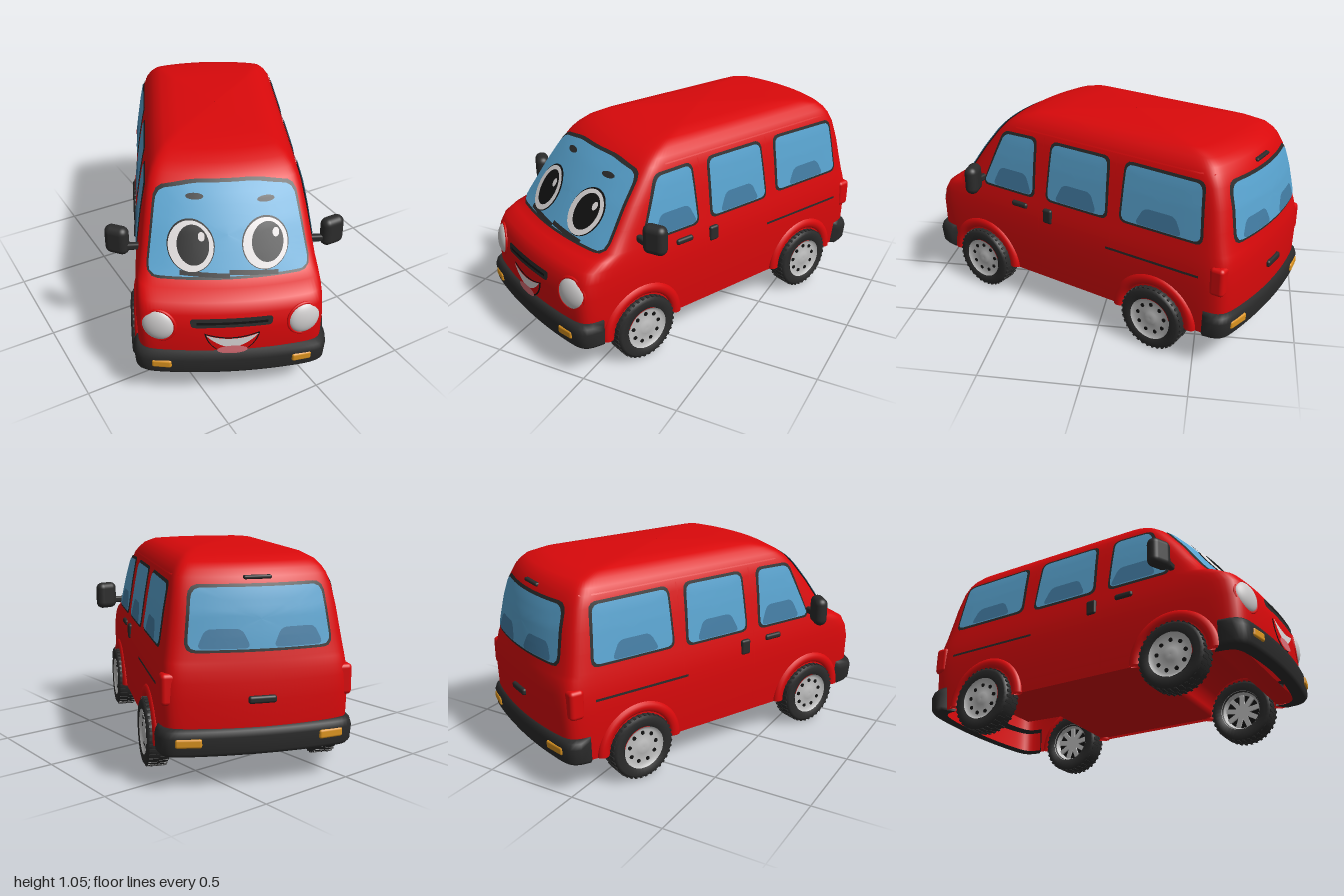
import * as THREE from 'three';
import { RoundedBoxGeometry } from 'three/addons/geometries/RoundedBoxGeometry.js';

const mat = (name, color) => new THREE.MeshStandardMaterial({ name, color, side: THREE.DoubleSide });
const red = mat('red paint', 0xda090b), lampGrey = mat('headlight grey', 0xcdcbcb);
const rubber = mat('dark rubber', 0x2b2b2b), black = mat('black', 0x121212);
const white = mat('soft white', 0xdedada), silver = mat('silver', 0xc0c0c0);
const glass = mat('light blue glass', 0x58a3cf), shade = mat('dark blue glass', 0x427ca3);
const orange = mat('orange lamp', 0xdc9420), pink = mat('pink tongue', 0xdd7078);

// Body levels: y, half width, front z, back z, bow of the ends
const LEVELS = [
  [0.17, 0.432, 0.92, 0.935, 0.05], [0.3, 0.441, 0.935, 0.945, 0.05], [0.42, 0.444, 0.935, 0.948, 0.05],
  [0.5, 0.441, 0.922, 0.946, 0.05], [0.55, 0.436, 0.895, 0.941, 0.052], [0.585, 0.431, 0.837, 0.936, 0.056],
  [0.605, 0.428, 0.775, 0.932, 0.06], [0.7, 0.413, 0.71, 0.917, 0.065], [0.8, 0.397, 0.64, 0.899, 0.065],
  [0.9, 0.378, 0.56, 0.872, 0.065], [0.95, 0.362, 0.515, 0.848, 0.065], [0.98, 0.344, 0.475, 0.825, 0.06],
  [1.01, 0.318, 0.42, 0.79, 0.055], [1.035, 0.277, 0.33, 0.7, 0.045], [1.05, 0.2, 0.18, 0.5, 0.03],
  [1.056, 0.002, -0.14, 0.145, 0]];
const POWER = 18;
const opposite = t => (1 - Math.abs(t) ** POWER) ** (1 / POWER);

// Rounded, bowed plan outline: (u, v) on a unit square mapped to x, z
function plan([, w, zf, zb, bow], u, v) {
  const s = (Math.abs(u) ** POWER + Math.abs(v) ** POWER) ** (-1 / POWER);
  u *= s; v *= s;
  return [w * u, (zf - zb) / 2 + (zf + zb) / 2 * v - Math.sign(v) * bow * u * u * v ** 4];
}
function level(y) {
  const i = Math.max(1, LEVELS.findIndex(l => l[0] >= y)), a = LEVELS[i - 1], b = LEVELS[i];
  return a.map((k, j) => THREE.MathUtils.lerp(k, b[j], (y - a[0]) / (b[0] - a[0])));
}
// Points on the body skin, pushed out by off
const onEnd = (dir, off) => (x, y) => {
  const l = level(y), u = THREE.MathUtils.clamp(x / l[1], -0.995, 0.995);
  return new THREE.Vector3(x, y, plan(l, u, dir * opposite(u))[1] + dir * off);
};
const onSide = (dir, off) => (z, y) => {
  const l = level(y), at = v => plan(l, opposite(v), v);
  let lo = -0.999, hi = 0.999;
  for (let i = 0; i < 24; i++) { const m = (lo + hi) / 2; if (at(m)[1] < z) lo = m; else hi = m; }
  return new THREE.Vector3(dir * (at(lo)[0] + off), y, z);
};

// Surface through rows of points
function loft(rows, closed = false) {
  const n = rows[0].length, idx = [];
  for (let r = 0; r < rows.length - 1; r++)
    for (let i = 0; i < (closed ? n : n - 1); i++) {
      const j = (i + 1) % n, a = r * n, b = a + n;
      idx.push(a + i, b + i, a + j, a + j, b + i, b + j);
    }
  const g = new THREE.BufferGeometry().setFromPoints(rows.flat());
  g.setIndex(idx);
  g.computeVertexNormals();
  return g;
}
// Flat outline laid on a curved surface
function patch(outline, map) {
  const c = outline.reduce((s, p) => s.add(p), new THREE.Vector2()).divideScalar(outline.length);
  return loft([0.001, 0.2, 0.4, 0.6, 0.8, 1].map(k =>
    outline.map(p => map(c.x + (p.x - c.x) * k, c.y + (p.y - c.y) * k))), true);
}
function rounded(corners, r, grow = 0) {
  const v = corners.map(p => new THREE.Vector2(...p)), s = new THREE.Shape(), n = v.length;
  const c = v.reduce((a, p) => a.add(p), new THREE.Vector2()).divideScalar(n);
  v.forEach(p => { p.x += Math.sign(p.x - c.x) * grow; p.y += Math.sign(p.y - c.y) * grow; });
  v.forEach((p, i) => {
    const toward = q => p.clone().add(q.clone().sub(p).setLength(r));
    const a = toward(v[(i + n - 1) % n]), b = toward(v[(i + 1) % n]);
    if (i) s.lineTo(a.x, a.y); else s.moveTo(a.x, a.y);
    s.quadraticCurveTo(p.x, p.y, b.x, b.y);
  });
  s.closePath();
  return s.getSpacedPoints(72).slice(0, -1);
}
const oval = (x, y, rx, ry) => new THREE.Shape().absellipse(x, y, rx, ry, 0, Math.PI * 2).getSpacedPoints(36).slice(0, -1);
// Thin line on a surface
function line(a, b, t, map) {
  const p = new THREE.Vector2(...a), q = new THREE.Vector2(...b);
  const d = q.clone().sub(p).normalize().multiplyScalar(t / 2), rows = [[], []];
  for (let i = 0; i <= 16; i++) {
    const m = p.clone().lerp(q, i / 16);
    rows[0].push(map(m.x - d.y, m.y + d.x));
    rows[1].push(map(m.x + d.y, m.y - d.x));
  }
  return loft(rows);
}

function makeWheel() {
  const g = new THREE.Group();
  const put = (name, geo, m, r = 0, a = 0, x = 0) => {
    const mesh = new THREE.Mesh(geo, m);
    mesh.position.set(x, Math.cos(a) * r, Math.sin(a) * r);
    mesh.rotation.x = a; mesh.name = name; g.add(mesh);
  };
  const lathe = pts => new THREE.LatheGeometry(pts.map(p => new THREE.Vector2(...p)), 40).rotateZ(-Math.PI / 2);
  put('tyre', lathe([[0.1, -0.02], [0.105, -0.05], [0.15, -0.056], [0.163, -0.046], [0.167, -0.026], [0.167, 0.026],
    [0.163, 0.046], [0.15, 0.056], [0.112, 0.053], [0.105, 0.036]]), rubber);
  put('rim', lathe([[0, 0.05], [0.028, 0.052], [0.034, 0.044], [0.09, 0.038], [0.11, 0.054]]), silver);
  put('innerWell', lathe([[0, -0.015], [0.1, -0.015]]), black);
  put('innerRim', lathe([[0.09, -0.018], [0.11, -0.053]]), silver);
  for (let i = 0; i < 9; i++) {
    const a = i / 9 * Math.PI * 2;
    put('rimHole', new THREE.CylinderGeometry(0.01, 0.01, 0.006, 12).rotateZ(Math.PI / 2), black, 0.075, a, 0.041);
    put('innerSpoke', new THREE.BoxGeometry(0.01, 0.095, 0.026), silver, 0.047, a, -0.02);
  }
  for (let i = 0; i < 72; i++)
    put('treadBlock', new THREE.BoxGeometry(0.044, 0.006, 0.012), rubber, 0.166, i / 36 * Math.PI, (i % 2) * 0.048 - 0.024);
  return g;
}

export function createModel() {
  const van = new THREE.Group();
  const add = (name, geo, m, x = 0, y = 0, z = 0) => {
    const mesh = new THREE.Mesh(geo, m);
    mesh.name = name; mesh.position.set(x, y, z); van.add(mesh);
    return mesh;
  };

  // Body shell
  const square = [], N = 48;
  for (const [ax, ay, dx, dy] of [[-1, 1, 1, 0], [1, 1, 0, -1], [1, -1, -1, 0], [-1, -1, 0, 1]])
    for (let i = 0; i < N; i++) square.push([ax + dx * 2 * i / N, ay + dy * 2 * i / N]);
  add('body', loft(LEVELS.map(l => square.map(([u, v]) => {
    const [x, z] = plan(l, u, v); return new THREE.Vector3(x, l[0], z);
  })), true), red);

  // Underside: open rear bay, middle floor and front wheel tunnel
  const under = [[-0.87, 0.37]], tunnel = (c, from) => {
    for (let i = from; i <= 14; i++) { const a = Math.PI * (1 - i / 14); under.push([c + 0.19 * Math.cos(a), 0.18 + 0.19 * Math.sin(a)]); }
  };
  tunnel(-0.53, 7);
  tunnel(0.56, 0);
  under.push([0.86, 0.18]);
  add('floor', loft(under.map(([z, y]) => [-1, 1].map(s => new THREE.Vector3(s * (Math.abs(z) > 0.8 ? 0.395 : 0.425), y, z)))), red);

  // Bumpers
  const section = [[-0.03, 0.168], [0.022, 0.168], [0.033, 0.185], [0.038, 0.255], [0.031, 0.282], [0.018, 0.298], [-0.03, 0.302]];
  for (const d of [1, -1]) {
    const back = d > 0 ? 0.87 : 0.89, path = [[-1, back, 1], [-1, back, 0], [-1, 0.95, 0]];
    for (let i = 0; i <= 40; i++) path.push([-1 + i / 20, 1, 0]);
    path.push([1, 0.95, 0], [1, back, 0], [1, back, 1]);
    add(d > 0 ? 'frontBumper' : 'rearBumper', loft(path.map(([u, v, end]) => section.map(([o, y]) => {
      const k = end ? -0.03 : o, [x, z] = plan([0, 0.428 + k, 0.922 + k, 0.922 + k, 0.045], u, v * d);
      return new THREE.Vector3(x, y, z);
    }))), rubber);
    for (const s of [-1, 1]) {
      const lamp = add('bumperLamp', new RoundedBoxGeometry(d > 0 ? 0.095 : 0.12, 0.043, 0.024, 3, 0.011), orange, s * 0.33, 0.235, d * 0.931);
      lamp.rotation.y = s * d * 0.18;
    }
  }

  // Wheels, arches, side glass and trim
  for (const s of [-1, 1]) {
    for (const z of [0.56, -0.53]) {
      const wheel = makeWheel();
      wheel.name = 'wheel'; wheel.position.set(s * 0.419, 0.172, z);
      if (s < 0) wheel.rotation.y = Math.PI;
      van.add(wheel);
      add('wheelArch', new THREE.TorusGeometry(0.203, 0.03, 12, 36, Math.PI).rotateY(Math.PI / 2).scale(0.8, 1, 1), red, s * 0.432, 0.172, z);
    }
    const windows = [
      [[0.215, 0.63], [0.545, 0.63], [0.425, 0.915], [0.225, 0.92]],
      [[-0.24, 0.635], [0.12, 0.635], [0.11, 0.92], [-0.225, 0.92]],
      [[-0.765, 0.645], [-0.33, 0.645], [-0.335, 0.92], [-0.74, 0.915]]];
    windows.forEach((w, i) => {
      add('sideWindowFrame', patch(rounded(w, 0.04, 0.013), onSide(s, 0.006)), rubber);
      add('sideWindow', patch(rounded(w, 0.035), onSide(s, 0.01)), glass);
      const c = [0.35, -0.06, -0.54][i], y = w[0][1] + 0.004;
      add('seatShade', patch(rounded([[c - 0.13, y], [c + 0.13, y], [c + 0.085, 0.735], [c - 0.085, 0.735]], 0.03), onSide(s, 0.013)), shade);
    });
    add('doorHandle', new RoundedBoxGeometry(0.03, 0.03, 0.1, 3, 0.012), rubber, s * 0.433, 0.56, 0.3);
    add('slidingDoorHandle', new RoundedBoxGeometry(0.03, 0.08, 0.055, 3, 0.012), rubber, s * 0.434, 0.54, 0.115);
    add('slideRail', line([-0.77, 0.475], [-0.25, 0.475], 0.012, onSide(s, 0.005)), rubber);
    for (const [a, b] of [[[0.17, 0.2], [0.17, 0.94]], [[-0.275, 0.4], [-0.275, 0.94]], [[-0.27, 0.23], [0.33, 0.23]], [[-0.78, 0.955], [0.36, 0.955]]])
      add('doorSeam', line(a, b, 0.006, onSide(s, 0.004)), red);

    // Mirrors and corner lamps
    add('mirror', new RoundedBoxGeometry(0.12, 0.15, 0.07, 5, 0.034), rubber, s * 0.52, 0.68, 0.54).rotation.y = s * 0.44;
    add('mirrorArm', new RoundedBoxGeometry(0.1, 0.035, 0.03, 2, 0.01), rubber, s * 0.44, 0.65, 0.56);
    add('tailLamp', new RoundedBoxGeometry(0.08, 0.145, 0.075, 4, 0.02), red, s * 0.404, 0.47, -0.86);
    const ring = add('headlightRing', new THREE.TorusGeometry(0.08, 0.008, 8, 36), red, s * 0.338, 0.435, 0.89);
    const lamp = add('headlight', new THREE.SphereGeometry(0.08, 32, 20), lampGrey, s * 0.338, 0.435, 0.885);
    lamp.scale.z = 0.45;
    ring.rotation.y = lamp.rotation.y = s * 0.3;
    ring.rotation.x = lamp.rotation.x = -0.1;
  }

  // Windshield
  const shield = [[-0.38, 0.612], [0.38, 0.612], [0.325, 0.93], [0.14, 0.96], [-0.14, 0.96], [-0.325, 0.93]];
  add('windshieldFrame', patch(rounded(shield, 0.05, 0.01), onEnd(1, 0.008)), rubber);
  add('windshield', patch(rounded(shield, 0.045), onEnd(1, 0.014)), glass);

  // Eyes, brows and wipers
  for (const s of [-1, 1]) {
    const x = s * 0.174;
    add('eyeOutline', patch(oval(x, 0.733, 0.111, 0.102), onEnd(1, 0.02)), black);
    add('eyeWhite', patch(oval(x, 0.733, 0.106, 0.097), onEnd(1, 0.025)), white);
    add('pupil', patch(oval(x + 0.01, 0.74, 0.075, 0.077), onEnd(1, 0.03)), black);
    add('eyeGlint', patch(oval(x + 0.05, 0.775, 0.016, 0.018), onEnd(1, 0.035)), white);
    add('brow', patch(oval(0.02 + s * 0.167, 0.905 - s * 0.01, 0.042, 0.012), onEnd(1, 0.02)), rubber);
    add('wiper', line([s * 0.115 - 0.115, 0.632], [s * 0.115 + 0.115, 0.618], 0.018, onEnd(1, 0.022)), rubber);
  }

  // Grille and smiling mouth
  add('grille', patch(rounded([[-0.19, 0.443], [0.185, 0.443], [0.19, 0.49], [-0.195, 0.49]], 0.018), onEnd(1, 0.012)), rubber);
  add('grilleSlot', line([-0.165, 0.467], [0.165, 0.467], 0.012, onEnd(1, 0.016)), black);
  const mouth = new THREE.Shape();
  mouth.moveTo(-0.13, 0.41); mouth.quadraticCurveTo(0, 0.355, 0.13, 0.41);
  mouth.bezierCurveTo(0.1, 0.245, -0.1, 0.245, -0.13, 0.41);
  const lips = mouth.getSpacedPoints(48).slice(0, -1);
  add('mouthOutline', patch(lips, onEnd(1, 0.008)), black);
  add('mouthInside', patch(lips.map(p => new THREE.Vector2(p.x * 0.93, 0.35 + (p.y - 0.35) * 0.88)), onEnd(1, 0.011)), red);
  const teeth = [0.404, 0.354].map((y0, r) => Array.from({ length: 17 }, (_, i) => {
    const t = i / 8 - 1; return onEnd(1, 0.015)(t * 0.12, y0 - (1 - t * t) * 0.024 + r * t * t * 0.046);
  }));
  add('teeth', loft(teeth), white);
  add('tongue', patch(oval(0, 0.316, 0.072, 0.024), onEnd(1, 0.018)), pink);

  // Back window, handle and hinge trim
  const rear = [[-0.33, 0.645], [0.33, 0.645], [0.297, 0.91], [-0.297, 0.91]];
  add('rearWindowFrame', patch(rounded(rear, 0.05, 0.013), onEnd(-1, 0.008)), rubber);
  add('rearWindow', patch(rounded(rear, 0.045), onEnd(-1, 0.013)), glass);
  for (const x of [-0.17, 0.17])
    add('rearSeatShade', patch(rounded([[x - 0.12, 0.65], [x + 0.12, 0.65], [x + 0.08, 0.735], [x - 0.08, 0.735]], 0.03), onEnd(-1, 0.017)), shade);
  add('tailgateHandle', new RoundedBoxGeometry(0.13, 0.035, 0.03, 3, 0.012), rubber, 0, 0.42, -0.948);
  add('tailgateTrim', new RoundedBoxGeometry(0.13, 0.018, 0.025, 3, 0.008), rubber, 0, 0.948, -0.848);

  van.name = 'van';
  van.rotation.y = -THREE.MathUtils.degToRad(25);
  const root = new THREE.Group();
  root.add(van);
  return root;
}
